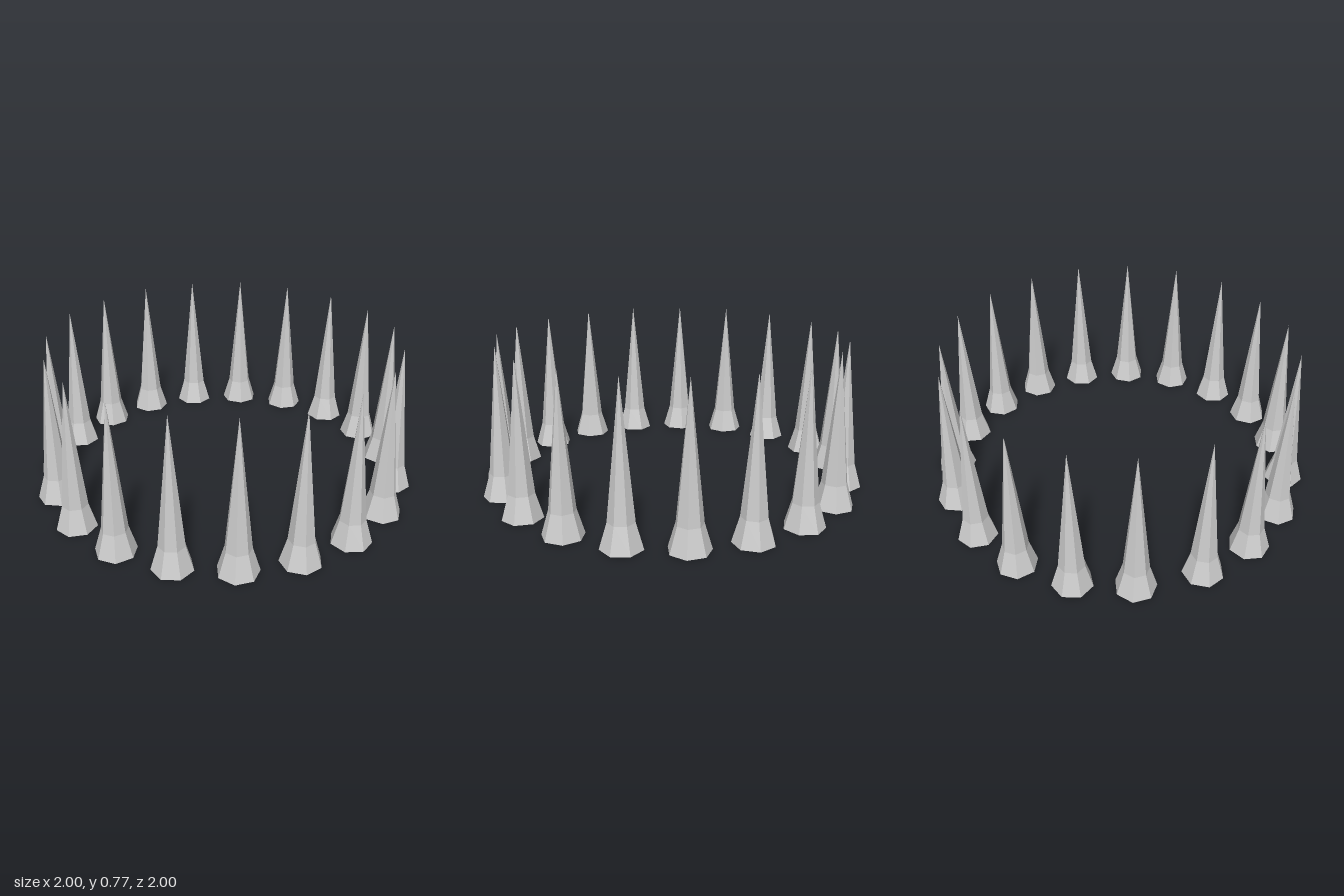
import * as THREE from 'three';

const COUNT = 19;
const RING_RADIUS = 0.905;
const START = THREE.MathUtils.degToRad(267.3); // clockwise from the back
const STEP = THREE.MathUtils.degToRad(18.82); // leaves one slightly wider gap
const TWIST = Math.PI / 14; // puts a corner of each spike on the ring's tangent

export function createModel() {
  const group = new THREE.Group();
  group.name = 'spikeRing';
  const material = new THREE.MeshStandardMaterial({ color: 0xcccccc, flatShading: true });

  // Seven-sided spike: closed base, flared foot, long tapering point
  const profile = [[0, 0], [0.102, 0], [0.065, 0.125], [0, 0.775]]
    .map(([r, y]) => new THREE.Vector2(r, y));
  const geometry = new THREE.LatheGeometry(profile, 7);

  // Spikes around the ring, each turned to follow it
  for (let i = 0; i < COUNT; i++) {
    const a = START + i * STEP;
    const spike = new THREE.Mesh(geometry, material);
    spike.name = `spike${i + 1}`;
    spike.position.set(0.004 + RING_RADIUS * Math.sin(a), 0, 0.004 - RING_RADIUS * Math.cos(a));
    spike.rotation.y = Math.PI - a - TWIST;
    group.add(spike);
  }
  return group;
}
